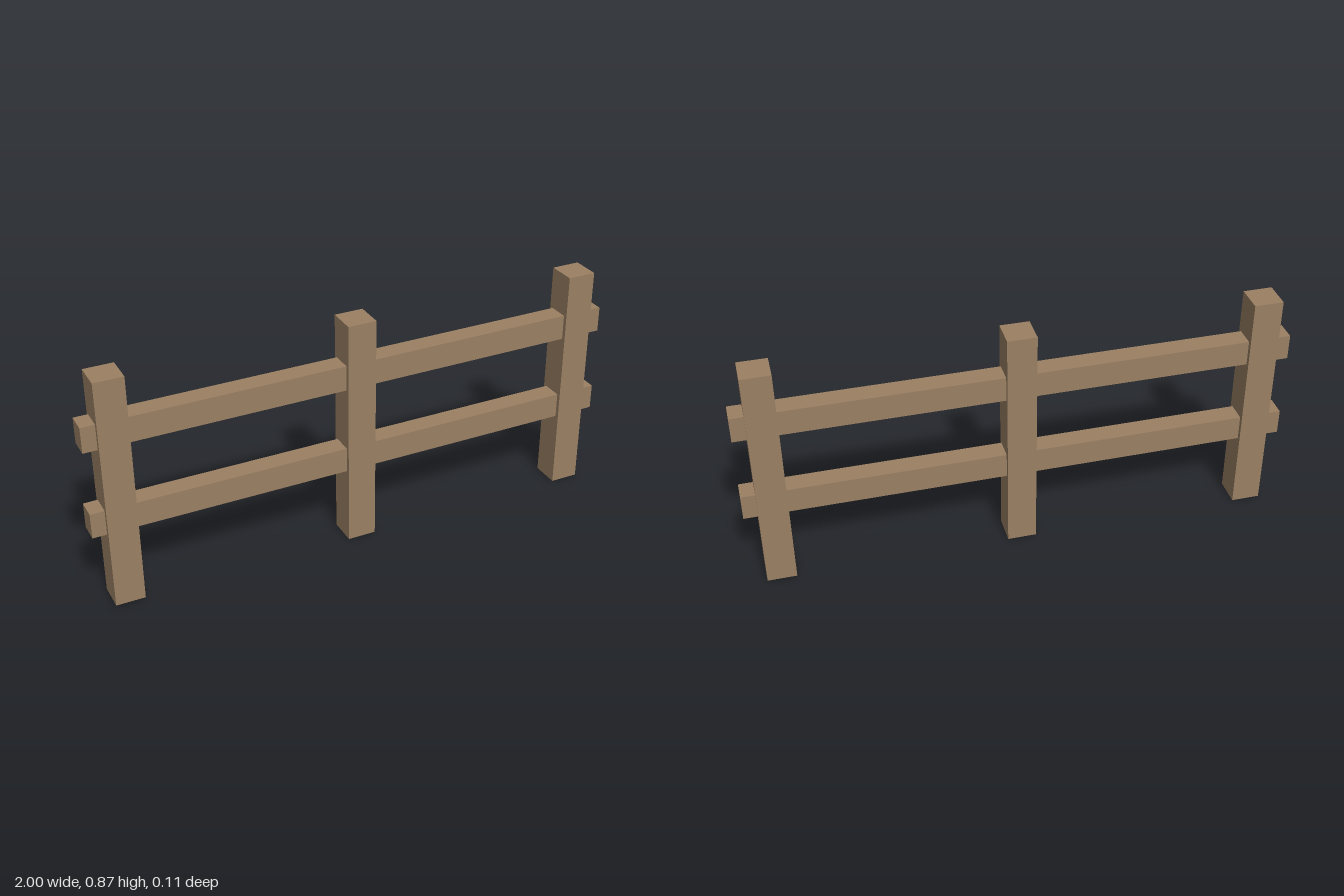
import * as THREE from 'three';

export function createModel() {
  const fence = new THREE.Group();
  fence.name = 'fence';

  const wood = new THREE.MeshStandardMaterial({ color: 0x9b8063 });
  wood.name = 'brown wood';

  function beam(name, width, height, depth, x, y) {
    const mesh = new THREE.Mesh(new THREE.BoxGeometry(width, height, depth), wood);
    mesh.name = name;
    mesh.position.set(x, y, 0);
    fence.add(mesh);
  }

  // Three square upright posts
  const postHeight = 0.873;
  const posts = { rightPost: -0.895, middlePost: 0, leftPost: 0.895 };
  for (const [name, x] of Object.entries(posts)) {
    beam(name, 0.107, postHeight, 0.107, x, postHeight / 2);
  }

  // Two rails running through the posts, with ends standing proud
  const rails = { lowerRail: 0.336, upperRail: 0.668 };
  for (const [name, y] of Object.entries(rails)) {
    beam(name, 2, 0.095, 0.076, 0, y);
  }

  return fence;
}
